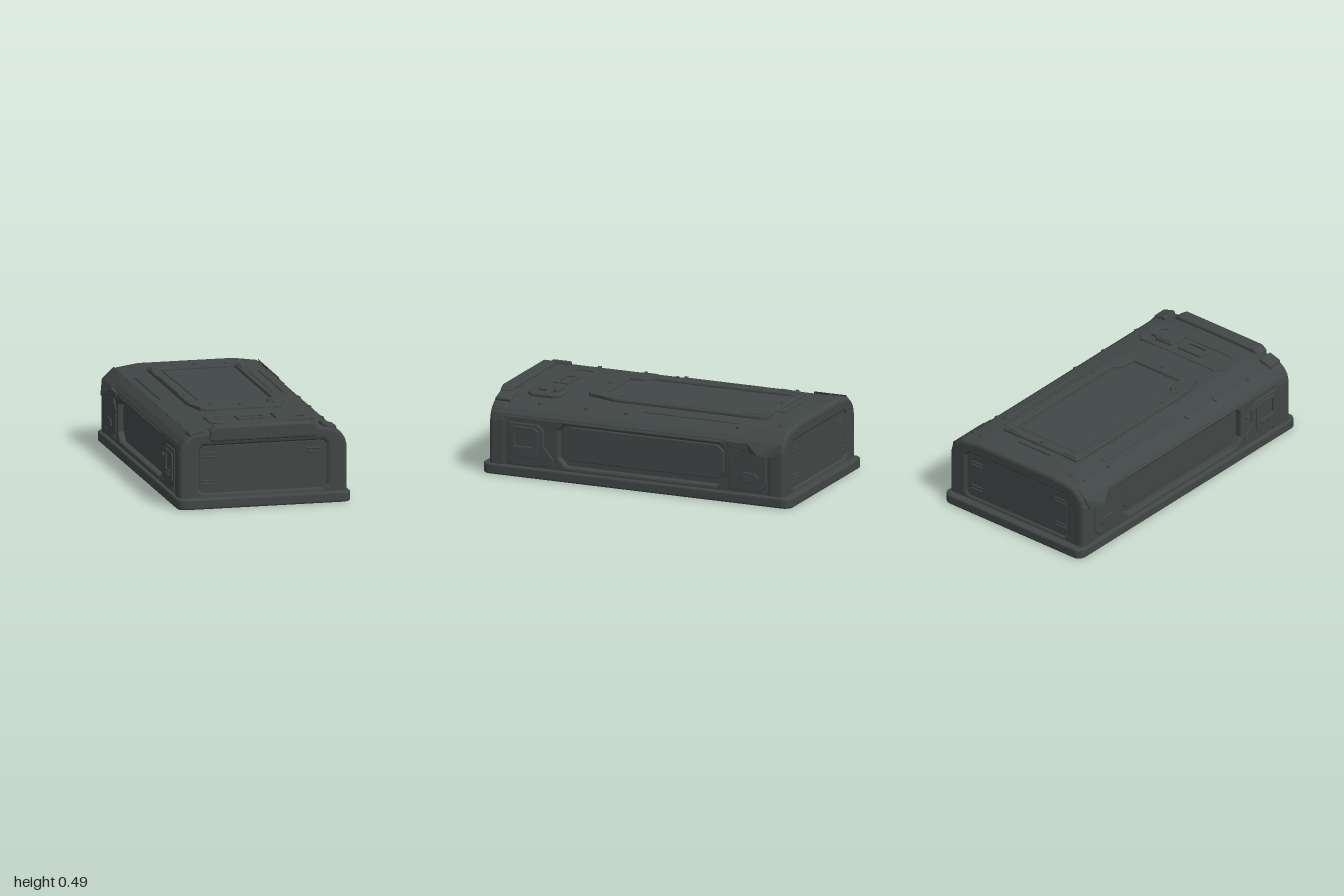
import * as THREE from 'three';
import { RoundedBoxGeometry } from 'three/addons/geometries/RoundedBoxGeometry.js';
import { ConvexGeometry } from 'three/addons/geometries/ConvexGeometry.js';

const metal = new THREE.MeshStandardMaterial({ color: 0x414746 });
metal.name = 'dark grey metal';

// Points wound counter-clockwise, so mirrored outlines extrude alike
const wound = (pts) => {
  const list = pts.map(([x, y]) => new THREE.Vector2(x, y));
  return THREE.ShapeUtils.isClockWise(list) ? list.reverse() : list;
};
const toShape = (pts, hole) => {
  const s = new THREE.Shape(wound(pts));
  if (hole) s.holes.push(new THREE.Path(wound(hole)));
  return s;
};

// Extrusion whose bevel stays inside the given outline and depth
const extrude = (shape, depth, bevel = 0, segments = 2) =>
  new THREE.ExtrudeGeometry(shape, {
    depth: depth - 2 * bevel, bevelEnabled: bevel > 0, bevelSize: bevel,
    bevelThickness: bevel, bevelOffset: -bevel, bevelSegments: segments, curveSegments: 6,
  }).translate(0, 0, bevel);

// Rectangle outline with cut corners
const cutRect = (x0, x1, y0, y1, c) => [
  [x0 + c, y0], [x1 - c, y0], [x1, y0 + c], [x1, y1 - c],
  [x1 - c, y1], [x0 + c, y1], [x0, y1 - c], [x0, y0 + c],
];

const roundRect = (w, h, r) => {
  const s = new THREE.Shape();
  s.absarc(w - r, h - r, r, 0, Math.PI / 2);
  s.absarc(-w + r, h - r, r, Math.PI / 2, Math.PI);
  s.absarc(-w + r, -h + r, r, Math.PI, Math.PI * 1.5);
  s.absarc(w - r, -h + r, r, Math.PI * 1.5, Math.PI * 2);
  return s;
};

// Symmetric outline from its right half, listed bottom to top
const mirrored = (half) => [...half, ...half.map(([x, y]) => [-x, y]).reverse()];

export function createModel() {
  const model = new THREE.Group();
  const add = (name, geometry, x = 0, y = 0, z = 0) => {
    const mesh = new THREE.Mesh(geometry, metal);
    mesh.name = name;
    mesh.position.set(x, y, z);
    model.add(mesh);
    return mesh;
  };
  const box = (name, w, h, d, x, y, z, r = 0.008) =>
    add(name, new RoundedBoxGeometry(w, h, d, 2, Math.min(r, w / 2.1, h / 2.1, d / 2.1)), x, y, z);

  // Outline in (z, y), extruded outwards from x on side s
  const sidePlate = (name, s, x, depth, pts, hole, bevel = 0.006) => {
    const flip = (list) => list && list.map(([z, y]) => [-s * z, y]);
    add(name, extrude(toShape(flip(pts), flip(hole)), depth, bevel).rotateY(s * Math.PI / 2), s * x);
  };
  // Outline in (x, z), extruded upwards from y
  const topPlate = (name, y, depth, pts, hole, bevel = 0.006) => {
    const flip = (list) => list && list.map(([x, z]) => [x, -z]);
    add(name, extrude(toShape(flip(pts), flip(hole)), depth, bevel).rotateX(-Math.PI / 2), 0, y);
  };

  // Base slab
  add('base', extrude(roundRect(0.529, 1, 0.055), 0.064, 0.012, 3).rotateX(-Math.PI / 2));

  // Inner body behind the recessed panels
  add('core', extrude(toShape(mirrored([
    [0.465, 0.04], [0.465, 0.36], [0.41, 0.43], [0.29, 0.455]])), 1.86), 0, 0, -0.93);

  // Upper canopy with sloped shoulders
  add('canopy', extrude(toShape(mirrored([
    [0.44, 0.335], [0.505, 0.35], [0.5, 0.375], [0.475, 0.405],
    [0.43, 0.44], [0.3, 0.463], [0.15, 0.468]])), 1.86, 0.012), 0, 0, -0.93);

  // Arched frames around the recessed end panels
  const arch = mirrored([
    [0.513, 0.005], [0.513, 0.33], [0.502, 0.375], [0.478, 0.41],
    [0.43, 0.445], [0.29, 0.465]]);
  for (const s of [1, -1]) {
    add('endFrame', extrude(toShape(arch, cutRect(-0.385, 0.385, 0.09, 0.37, 0.02)), 0.11, 0.024, 3),
      0, 0, s > 0 ? 0.845 : -0.955);
    box('endPanel', 0.78, 0.31, 0.024, 0, 0.222, s * 0.931, 0.01);
    // Paired vent bars
    for (const [x, y] of [[-0.33, 0.315], [0.31, 0.315], [-0.335, 0.15], [0.31, 0.15]]) {
      if (s > 0 && x > 0 && y < 0.2) continue;
      for (const dy of [-0.011, 0.011]) box('ventBar', 0.085, 0.01, 0.012, x, y + dy, s * 0.943, 0.004);
    }
  }

  // Lip over the front end, and a shallow ridge at the back
  add('frontLip', extrude(toShape([
    [-0.33, 0.41], [-0.31, 0.397], [0.31, 0.397], [0.33, 0.41],
    [0.325, 0.465], [0.29, 0.49], [-0.29, 0.49], [-0.325, 0.465]]), 0.085, 0.014, 3), 0, 0, 0.883);
  for (const s of [1, -1]) box('frontShoulderPad', 0.09, 0.03, 0.1, s * 0.405, 0.449, 0.895, 0.012).rotation.z = -s * 0.3;
  box('backRidge', 0.72, 0.02, 0.025, 0, 0.457, -0.86, 0.009);

  for (const s of [1, -1]) {
    // Side wall with a long recess
    sidePlate('sideFrame', s, 0.44, 0.066, [[-0.92, 0.02], [0.92, 0.02], [0.92, 0.37], [-0.92, 0.37]], [
      [-0.52, 0.09], [0.46, 0.09], [0.51, 0.14], [0.51, 0.305],
      [0.475, 0.34], [-0.535, 0.34], [-0.57, 0.305], [-0.57, 0.14]], 0.012);
    sidePlate('sidePanel', s, 0.45, 0.026, cutRect(-0.55, 0.49, 0.12, 0.33, 0.04));
    box('sideBrow', 0.025, 0.022, 1.04, s * 0.496, 0.357, -0.03, 0.01);

    // Front control plate with screen and two knobs
    sidePlate('controlPlate', s, 0.495, 0.02, [
      [0.83, 0.07], [0.64, 0.07], [0.54, 0.09], [0.54, 0.13], [0.6, 0.2],
      [0.6, 0.29], [0.64, 0.33], [0.83, 0.33]]);
    sidePlate('screenFrame', s, 0.508, 0.016, cutRect(0.635, 0.815, 0.12, 0.31, 0.02),
      cutRect(0.665, 0.785, 0.19, 0.29, 0.008), 0.004);
    for (const z of [0.7, 0.75])
      add('knob', new THREE.CylinderGeometry(0.015, 0.017, 0.014, 10).rotateZ(Math.PI / 2), s * 0.522, 0.165, z);

    // Back service plate with an oval cover
    sidePlate('servicePlate', s, 0.495, 0.02, [
      [-0.6, 0.08], [-0.8, 0.08], [-0.84, 0.12], [-0.84, 0.33], [-0.64, 0.33], [-0.59, 0.27]]);
    sidePlate('serviceCover', s, 0.51, 0.013, cutRect(-0.79, -0.67, 0.13, 0.195, 0.022), null, 0.004);

    // Flared back shoulder guard
    add('shoulderGuard', new ConvexGeometry([
      [0.44, 0.45, -0.72], [0.44, 0.45, -0.93], [0.51, 0.385, -0.7], [0.51, 0.385, -0.93],
      [0.55, 0.31, -0.8], [0.525, 0.31, -0.9], [0.515, 0.325, -0.72], [0.48, 0.31, -0.9], [0.48, 0.32, -0.72],
    ].map(([x, y, z]) => new THREE.Vector3(s * x, y, z))));
    sidePlate('guardStrut', s, 0.495, 0.022, [[-0.58, 0.345], [-0.58, 0.375], [-0.78, 0.375], [-0.78, 0.31], [-0.74, 0.31]]);

    // Side bolts
    for (const [z, y] of [[0.56, 0.1], [0.57, 0.25], [0.8, 0.09], [-0.62, 0.1], [-0.62, 0.3], [-0.81, 0.3], [-0.81, 0.11]])
      add('sideBolt', new THREE.CylinderGeometry(0.011, 0.013, 0.016, 8).rotateZ(Math.PI / 2), s * 0.512, y, z);

    // Shoulder rails and bolts along the top
    box('shoulderRail', 0.035, 0.016, 0.62, s * 0.375, 0.45, -0.3, 0.007).rotation.z = -s * 0.18;
    for (const z of [-0.83, -0.62, 0.1, 0.36, 0.66])
      add('shoulderBolt', new THREE.CylinderGeometry(0.011, 0.015, 0.014, 8), s * 0.43, 0.442, z).rotation.z = -s * 0.4;
  }

  // Raised top frame around the sunken lid panel
  topPlate('lidFrame', 0.455, 0.029, [
    [-0.28, -0.74], [0.28, -0.74], [0.3, -0.7], [0.3, 0.24], [0.25, 0.42],
    [0.22, 0.44], [-0.22, 0.44], [-0.25, 0.42], [-0.29, 0.24], [-0.29, -0.7]], [
    [-0.22, -0.675], [0.23, -0.675], [0.235, -0.66], [0.235, 0.21], [0.195, 0.25],
    [0.185, 0.345], [-0.165, 0.345], [-0.175, 0.25], [-0.215, 0.21], [-0.225, -0.66]], 0.01);
  topPlate('lidPanel', 0.455, 0.018, [
    [-0.21, -0.66], [0.22, -0.66], [0.22, 0.2], [0.175, 0.25], [0.17, 0.335], [-0.15, 0.335], [-0.16, 0.25], [-0.2, 0.2]]);
  for (const s of [1, -1]) {
    // Corner clamps and side strips of the lid
    topPlate('lidClamp', 0.47, 0.018, [
      [s * 0.29, 0.22], [s * 0.245, 0.22], [s * 0.21, 0.26], [s * 0.2, 0.4], [s * 0.25, 0.42], [s * 0.29, 0.3]]);
    topPlate('lidClamp', 0.47, 0.021, [
      [s * 0.29, -0.58], [s * 0.25, -0.58], [s * 0.245, -0.68], [s * 0.18, -0.69], [s * 0.18, -0.73], [s * 0.27, -0.73]]);
    box('lidStrip', 0.022, 0.016, 0.5, s * 0.275, 0.481, -0.22, 0.006);
  }
  box('lidHinge', 0.26, 0.016, 0.03, 0, 0.472, -0.775);
  for (const [x, z] of [[0, -0.715], [-0.22, -0.72], [0.22, -0.72], [0.27, 0.08], [-0.26, 0.08], [0, 0.395]])
    add('lidBolt', new THREE.CylinderGeometry(0.011, 0.014, 0.014, 8), x, 0.487, z);

  // Latch deck in front of the lid
  topPlate('latchDeck', 0.455, 0.02, cutRect(-0.28, 0.36, 0.57, 0.79, 0.04),
    cutRect(-0.24, 0.3, 0.61, 0.75, 0.02));
  topPlate('latchWindow', 0.46, 0.02, cutRect(-0.1, 0.09, 0.63, 0.73, 0.01), cutRect(-0.07, 0.06, 0.65, 0.71, 0.008), 0.004);
  box('latchHandle', 0.13, 0.026, 0.13, 0.19, 0.47, 0.69);
  box('latchLever', 0.09, 0.022, 0.04, 0.3, 0.47, 0.67);
  box('latchGrip', 0.09, 0.018, 0.03, 0.19, 0.481, 0.65);

  return model;
}
